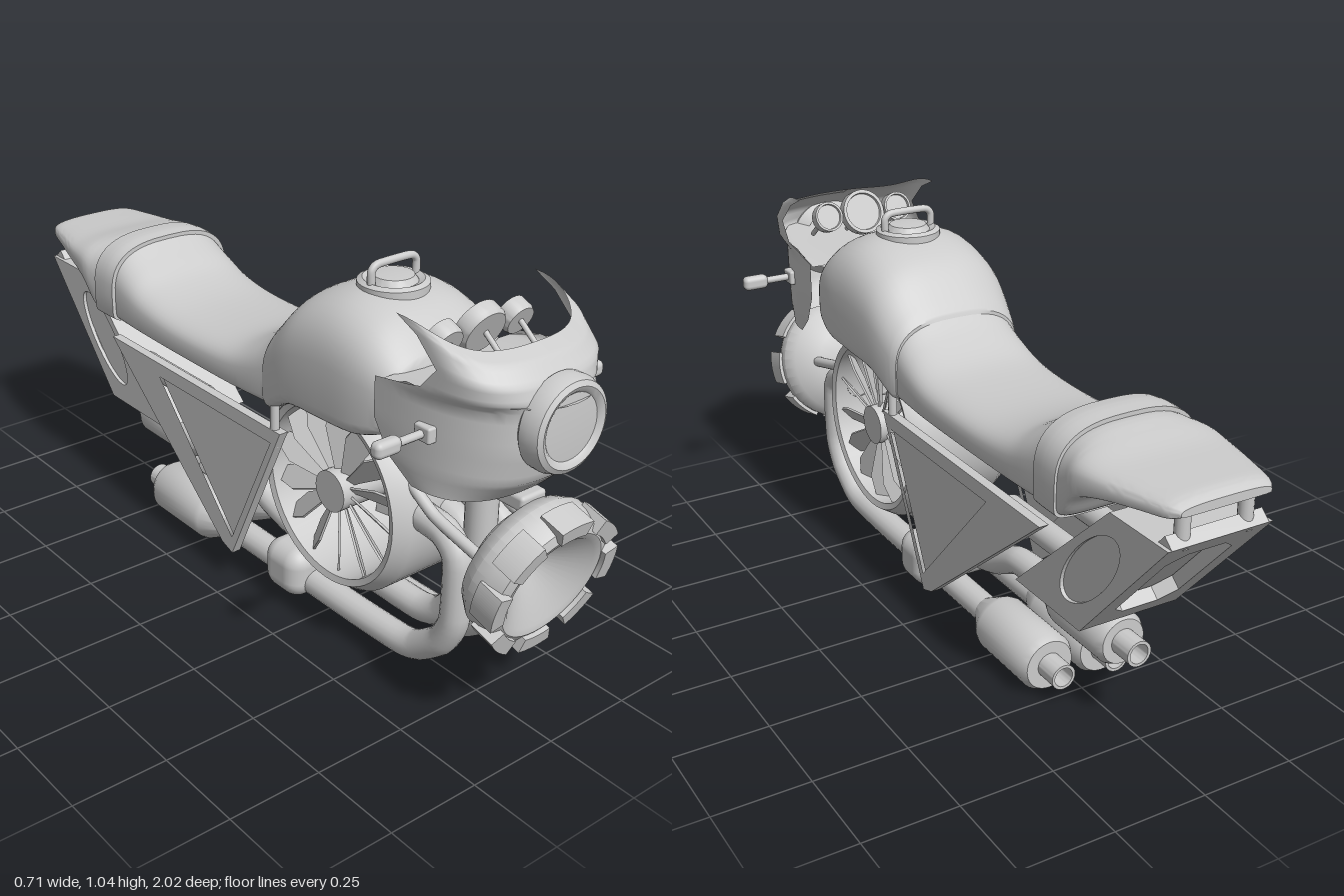
import * as THREE from 'three';
import { toCreasedNormals } from 'three/addons/utils/BufferGeometryUtils.js';
import { RoundedBoxGeometry } from 'three/addons/geometries/RoundedBoxGeometry.js';

const grey = new THREE.MeshStandardMaterial({ color: 0xcccccc });
const open = new THREE.MeshStandardMaterial({ color: 0xcccccc, side: THREE.DoubleSide });
const V2 = (a) => a.map(([x, y]) => new THREE.Vector2(x, y));
const V3 = (a) => a.map((p) => new THREE.Vector3(...p));

export function createModel() {
  const root = new THREE.Group();
  const add = (name, geo, pos = [0, 0, 0], rot = [0, 0, 0], mat = grey, parent = root) => {
    const m = new THREE.Mesh(geo, mat);
    m.name = name;
    m.position.set(...pos);
    m.rotation.set(...rot);
    parent.add(m);
    return m;
  };
  const crease = (geo, a = 0.6) => toCreasedNormals(geo, a);
  const tube = (name, pts, r, tension = 0.3) =>
    add(name, new THREE.TubeGeometry(new THREE.CatmullRomCurve3(V3(pts), false, 'catmullrom', tension), 60, r, 16), undefined, undefined, open);
  // lathe turned so its axis runs towards +z (dir 1) or -z (dir -1)
  const lathe = (pts, dir = 1) => crease(new THREE.LatheGeometry(V2(pts), 40)).rotateX(dir * Math.PI / 2);

  // indexed grid of vertices: rows x cols
  const grid = (rows, cols, fn, pos = [], idx = []) => {
    for (let i = 0; i <= rows; i++) for (let j = 0; j <= cols; j++) pos.push(...fn(i / rows, j / cols));
    for (let i = 0; i < rows; i++) for (let j = 0; j < cols; j++) {
      const a = i * (cols + 1) + j, b = a + cols + 1;
      idx.push(a, b, a + 1, b, b + 1, a + 1);
    }
    return { pos, idx };
  };
  const build = ({ pos, idx }) => {
    const g = new THREE.BufferGeometry();
    g.setAttribute('position', new THREE.Float32BufferAttribute(pos, 3));
    g.setIndex(idx);
    g.computeVertexNormals();
    return g;
  };

  // body lofted along z from sections [z, halfWidth, bottom, top]
  const loft = (sections) => {
    const top = new THREE.CatmullRomCurve3(V3(sections.map(([z, w, , t]) => [w, t, z])), false, 'catmullrom', 0.5);
    const bot = new THREE.CatmullRomCurve3(V3(sections.map(([z, w, b]) => [w, b, z])), false, 'catmullrom', 0.5);
    const rows = (sections.length - 1) * 6, cols = 48;
    const g = grid(rows, cols, (u, v) => {
      const T = top.getPoint(u), B = bot.getPoint(u), a = v * Math.PI * 2;
      const c = Math.cos(a), s = Math.sin(a), n = s > 0 ? 2.8 : 8;
      const k = (q) => Math.sign(q) * Math.abs(q) ** (2 / n);
      const mid = B.y + (T.y - B.y) * 0.35;
      return [T.x * k(c), mid + (s > 0 ? T.y - mid : mid - B.y) * k(s), T.z];
    });
    for (const row of [0, rows]) {
      const s = sections[row ? sections.length - 1 : 0], c = g.pos.length / 3;
      g.pos.push(0, (s[2] + s[3]) / 2, s[0]);
      for (let j = 0; j < cols; j++) {
        const a = row * (cols + 1) + j;
        g.idx.push(c, row ? a + 1 : a, row ? a : a + 1);
      }
    }
    return crease(build(g), 0.7);
  };

  // tank, seat and tail
  add('tank', loft([[0.61, 0.15, 0.72, 0.86], [0.59, 0.19, 0.7, 0.89], [0.5, 0.212, 0.665, 0.955], [0.38, 0.215, 0.655, 0.975],
    [0.25, 0.21, 0.645, 0.935], [0.16, 0.197, 0.6, 0.85], [0.13, 0.187, 0.6, 0.815]]));
  add('seat', loft([[0.15, 0.183, 0.6, 0.82], [0.08, 0.186, 0.6, 0.77], [-0.02, 0.188, 0.6, 0.725], [-0.15, 0.188, 0.6, 0.71],
    [-0.3, 0.188, 0.6, 0.712], [-0.42, 0.188, 0.6, 0.735], [-0.5, 0.188, 0.6, 0.775], [-0.575, 0.186, 0.6, 0.82]]));
  add('seatBand', loft([[-0.56, 0.197, 0.598, 0.822], [-0.6, 0.199, 0.598, 0.826], [-0.65, 0.199, 0.598, 0.823]]));
  add('tail', loft([[-0.63, 0.19, 0.6, 0.81], [-0.67, 0.195, 0.615, 0.812], [-0.72, 0.198, 0.68, 0.803], [-0.8, 0.185, 0.71, 0.788],
    [-0.9, 0.16, 0.725, 0.782], [-0.97, 0.14, 0.732, 0.778], [-1, 0.12, 0.742, 0.765]]));

  // filler cap with its loop handle
  add('fillerCap', crease(new THREE.LatheGeometry(V2([[0.088, 0.955], [0.088, 0.98], [0.075, 0.987], [0.06, 0.98], [0.05, 0.995], [0, 1]]), 36)), [0, 0, 0.4], undefined, open);
  tube('capHandle', [[-0.07, 0.975, 0.4], [-0.07, 1.015, 0.4], [-0.05, 1.03, 0.4], [0.05, 1.03, 0.4], [0.07, 1.015, 0.4], [0.07, 0.975, 0.4]], 0.01);

  // fairing shell, rows of [y, front z, rear z, halfWidth]
  const shell = [[0.625, 0.87, 0.7, 0.2], [0.68, 0.925, 0.63, 0.21], [0.76, 0.945, 0.585, 0.215], [0.86, 0.95, 0.585, 0.215],
    [0.885, 0.948, 0.73, 0.214], [0.92, 0.935, 0.775, 0.212], [0.96, 0.9, 0.71, 0.212], [0.98, 0.86, 0.645, 0.213]];
  const fairing = grid((shell.length - 1) * 4, 40, (u, v) => {
    const f = Math.min(u * (shell.length - 1), shell.length - 1.0001), i = Math.floor(f);
    const [y, zf, zb, w] = shell[i].map((q, k) => THREE.MathUtils.lerp(q, shell[i + 1][k], f - i));
    const a = (v - 0.5) * Math.PI, s = Math.sin(a), c = Math.cos(a);
    const lift = Math.max(0, (y - 0.88) / 0.1) * 0.05 * Math.abs(s) ** 5;
    return [w * Math.sign(s) * Math.abs(s) ** 0.8, y + lift, zb + (zf - zb) * Math.abs(c) ** 0.8];
  });
  add('fairing', crease(build(fairing), 0.8), undefined, undefined, open);
  // deck closing the fairing between the screen and the tank
  const deck = grid(4, 24, (u, v) => {
    const a = (v - 0.5) * Math.PI;
    return [0.21 * Math.sin(a) * (1 - u * 0.02), 0.88 - 0.03 * u, 0.59 + (0.34 * Math.abs(Math.cos(a)) + 0.1) * (1 - u) * (u ? 1 : 0.9)];
  });
  add('fairingDeck', build(deck), undefined, undefined, open);
  add('headlight', lathe([[0.09, 0.9], [0.115, 0.93], [0.116, 0.955], [0.108, 0.978], [0.096, 0.985], [0.085, 0.98], [0.08, 0.975], [0, 0.98]]), [0, 0.82, 0], undefined, open);

  // gauges facing the rider
  for (const [x, r] of [[-0.11, 0.042], [0, 0.063], [0.11, 0.042]]) {
    add('gauge', lathe([[0, -0.02], [r * 0.9, -0.02], [r, -0.01], [r, 0.02], [r * 0.85, 0.02], [r * 0.82, 0.012], [0, 0.012]], -1), [x, 0.955, 0.69], [0.4, 0, 0], open);
    add('gaugeStalk', new THREE.CylinderGeometry(0.007, 0.007, 0.11, 10), [x, 0.915, 0.75], [-0.9, 0, 0]);
  }

  // turn signals
  for (const s of [-1, 1]) {
    add('signalBase', new RoundedBoxGeometry(0.03, 0.04, 0.05, 2, 0.006), [s * 0.205, 0.78, 0.745]);
    add('signalStem', new THREE.CylinderGeometry(0.01, 0.01, 0.1, 12), [s * 0.25, 0.78, 0.745], [0, 0, Math.PI / 2]);
    add('signalLamp', new RoundedBoxGeometry(0.072, 0.04, 0.034, 4, 0.014), [s * 0.32, 0.78, 0.745]);
  }

  // tilted front dish with rim teeth
  const dish = new THREE.Group();
  dish.name = 'frontDish';
  dish.position.set(0, 0.437, 0.88);
  dish.rotation.x = 0.27;
  root.add(dish);
  add('dishShell', lathe([[0, -0.08], [0.1, -0.07], [0.165, -0.035], [0.186, 0], [0.184, 0.04], [0.172, 0.075], [0.15, 0.085], [0.132, 0.08], [0, -0.03]]), undefined, undefined, open, dish);
  for (let k = 0; k < 8; k++) {
    const a = k * Math.PI / 4, tooth = new THREE.Shape(), h = 0.26;
    tooth.absarc(0, 0, 0.194, Math.PI / 2 - h, Math.PI / 2 + h);
    tooth.absarc(0, 0, 0.155, Math.PI / 2 + h, Math.PI / 2 - h, true);
    add('dishTooth', new THREE.ExtrudeGeometry(tooth, { depth: 0.07, bevelEnabled: false, curveSegments: 8 }), [0, 0, 0.025], [0, 0, a], grey, dish);
  }
  add('steeringColumn', new THREE.CylinderGeometry(0.04, 0.04, 0.26, 24), [0, 0.52, 0.73]);
  add('dishBracket', new RoundedBoxGeometry(0.08, 0.04, 0.2, 2, 0.01), [0, 0.6, 0.79]);
  for (const s of [-1, 1]) tube('dishStrut', [[s * 0.1, 0.56, 0.58], [s * 0.1, 0.5, 0.68], [s * 0.1, 0.455, 0.86]], 0.015);

  // wide fan wheel
  const wheel = new THREE.Group();
  wheel.name = 'wheel';
  wheel.position.set(0, 0.44, 0.355);
  root.add(wheel);
  const drum = [[0.228, -0.155], [0.245, -0.16], [0.27, -0.12], [0.27, 0.12], [0.245, 0.16], [0.228, 0.155], [0.228, -0.155]];
  add('drum', crease(new THREE.LatheGeometry(V2(drum), 56)).rotateZ(Math.PI / 2), undefined, undefined, open, wheel);
  add('hub', new THREE.CylinderGeometry(0.055, 0.055, 0.3, 32).rotateZ(Math.PI / 2), undefined, undefined, grey, wheel);
  const blade = new THREE.Shape(V2([[-0.01, 0.045], [0.01, 0.045], [0.036, 0.17], [0.02, 0.235], [-0.02, 0.235], [-0.036, 0.17]]));
  for (const s of [-1, 1]) for (let k = 0; k < 14; k++) {
    const g = new THREE.ExtrudeGeometry(blade, { depth: 0.006, bevelEnabled: false });
    g.rotateY(Math.PI / 2 - s * 0.7).rotateX(k * Math.PI / 7);
    add('blade', g, [s * 0.12, 0, 0], undefined, grey, wheel);
  }

  // exhaust: an outer pair and a higher centre pipe, each ending in a muffler
  const muffler = (x, y, z, r, len) => add('muffler', lathe([[0.036, 0], [r * 0.95, 0.07], [r, 0.085], [r, len - 0.02], [r * 0.85, len],
    [0.034, len], [0.034, len + 0.065], [0.026, len + 0.065], [0.026, len - 0.01], [0, len - 0.01]], -1), [x, y, z], undefined, open);
  for (const x of [-0.08, 0.08]) {
    tube('outerPipe', [[x, 0.47, 0.58], [x, 0.46, 0.69], [x, 0.41, 0.74], [x, 0.24, 0.74], [x, 0.16, 0.7], [x, 0.1, 0.62], [x, 0.085, 0.56], [x, 0.08, 0.4], [x, 0.08, 0.1], [x, 0.08, -0.18]], 0.038);
    muffler(x, 0.08, -0.16, 0.078, 0.31);
  }
  tube('centrePipe', [[0, 0.46, 0.58], [0, 0.44, 0.66], [0, 0.38, 0.7], [0, 0.26, 0.69], [0, 0.17, 0.62], [0, 0.14, 0.54], [0, 0.14, 0.3], [0, 0.14, 0.05], [0, 0.17, -0.08], [0, 0.225, -0.2], [0, 0.23, -0.4]], 0.038);
  muffler(0, 0.23, -0.36, 0.07, 0.305);
  add('pipeClamp', new RoundedBoxGeometry(0.31, 0.145, 0.15, 4, 0.05), [0, 0.105, 0.145]);

  // side profiles are drawn as (-z, y) and extruded across x
  const across = (shape, depth) => new THREE.ExtrudeGeometry(shape, { depth, bevelEnabled: false, curveSegments: 24 }).rotateY(Math.PI / 2).translate(-depth / 2, 0, 0);
  const triangle = [[-0.205, 0.55], [0.58, 0.55], [0.055, 0.115], [0.01, 0.1]];
  const inset = [[-0.165, 0.51], [0.34, 0.51], [0.01, 0.15]];
  for (const s of [-1, 1]) {
    const frame = new THREE.Shape(V2(triangle));
    frame.holes.push(new THREE.Path(V2(inset)));
    add('sidePanelFrame', across(frame, 0.026), [s * 0.177, 0, 0]);
    add('sidePanelPlate', across(new THREE.Shape(V2(inset)), 0.012), [s * 0.176, 0, 0]);
    add('panelStrut', new THREE.CylinderGeometry(0.012, 0.012, 0.14, 12), [s * 0.178, 0.57, 0.17]);
    add('tailBoxTube', new THREE.CylinderGeometry(0.034, 0.034, 0.35, 20), [s * 0.08, 0.44, -0.45], [Math.PI / 2, 0, 0]);
    add('tailPost', new THREE.CylinderGeometry(0.018, 0.018, 0.1, 16), [s * 0.085, 0.7, -0.962]);
  }

  // slanted tail box: core, side plates with an oval recess, framed rear opening
  const slant = (rear) => new THREE.Shape(V2([[0.4, 0.31], [0.68 - rear, 0.31], [0.99 - rear, 0.665], [0.78, 0.665]]));
  add('tailBoxCore', across(slant(0.05), 0.26));
  for (const s of [-1, 1]) {
    const side = slant(0);
    side.holes.push(new THREE.Path().absellipse(0.71, 0.487, 0.155, 0.06, 0, Math.PI * 2, true, 0.82));
    add('tailBoxSide', across(side, 0.012), [s * 0.134, 0, 0]);
  }
  const rect = (w, h, c) => V2([[-w + c, -h], [w - c, -h], [w, -h + c], [w, h - c], [w - c, h], [-w + c, h], [-w, h - c], [-w, -h + c]]);
  const rearFrame = new THREE.Shape(V2([[-0.13, -0.235], [0.13, -0.235], [0.13, 0.235], [-0.13, 0.235]]));
  rearFrame.holes.push(new THREE.Path(rect(0.09, 0.17, 0.04)));
  add('tailBoxRear', new THREE.ExtrudeGeometry(rearFrame, { depth: 0.036, bevelEnabled: false }), [0, 0.4875, -0.835], [-Math.atan2(0.31, 0.355), 0, 0]);
  return root;
}
